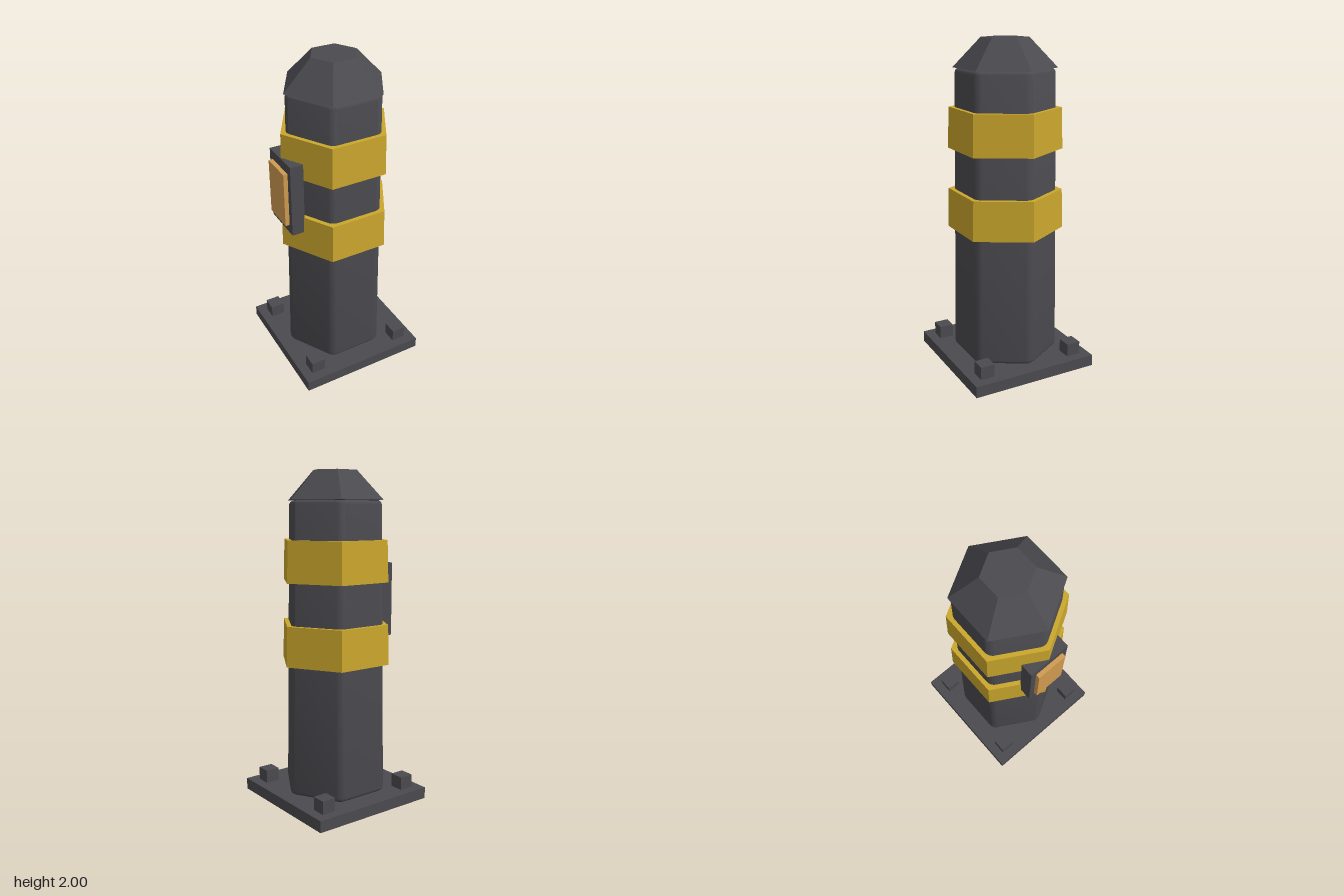
import * as THREE from 'three';
import { toCreasedNormals } from 'three/addons/utils/BufferGeometryUtils.js';

export function createModel() {
  const model = new THREE.Group();
  const paint = (name, color) => Object.assign(new THREE.MeshStandardMaterial({ color }), { name });
  const darkMetal = paint('dark metal', 0x4b4a4f);
  const yellow = paint('safety yellow', 0xcba72d);
  const orange = paint('orange panel', 0xd09b50);

  const add = (name, geometry, material, x, y, z) => {
    const mesh = new THREE.Mesh(geometry, material);
    mesh.name = name;
    mesh.position.set(x, y, z);
    model.add(mesh);
  };
  const box = (name, material, w, h, d, x, y, z) =>
    add(name, new THREE.BoxGeometry(w, h, d), material, x, y, z);
  // Sharp six-sided frustum with corners on the x axis
  const hex = (name, material, rTop, rBottom, y0, y1) =>
    add(name, toCreasedNormals(
      new THREE.CylinderGeometry(rTop, rBottom, y1 - y0, 6, 1, false, Math.PI / 6), 0.3),
    material, 0, (y0 + y1) / 2, 0);

  // Base plate with four square bolts
  box('basePlate', darkMetal, 0.805, 0.07, 0.805, 0, 0.035, 0);
  for (const x of [-0.299, 0.299])
    for (const z of [-0.299, 0.299])
      box('bolt', darkMetal, 0.088, 0.085, 0.088, x, 0.1075, z);

  // Column: hexagon with rounded corners, bevelled ends and a slight taper
  const R = 0.33, fillet = 0.06, bevel = 0.025, y0 = 0.07, y1 = 1.825;
  const outline = new THREE.Shape();
  for (let i = 0; i < 6; i++) {
    const a = i * Math.PI / 3, c = R - fillet / Math.cos(Math.PI / 6);
    outline.absarc(c * Math.cos(a), c * Math.sin(a), fillet, a - Math.PI / 6, a + Math.PI / 6, false);
  }
  outline.closePath();
  const column = new THREE.ExtrudeGeometry(outline, {
    depth: y1 - y0 - 2 * bevel, curveSegments: 6, bevelEnabled: true,
    bevelThickness: bevel, bevelSize: bevel, bevelOffset: -bevel, bevelSegments: 4,
  });
  column.rotateX(-Math.PI / 2).translate(0, y0 + bevel, 0);
  const p = column.attributes.position;
  for (let i = 0; i < p.count; i++) {
    const s = 1 - 0.09 * (p.getY(i) - y0) / (y1 - y0);
    p.setX(i, p.getX(i) * s);
    p.setZ(i, p.getZ(i) * s);
  }
  add('column', toCreasedNormals(column, 0.6), darkMetal, 0, 0, 0);

  // Warning bands and cap
  hex('lowerBand', yellow, 0.343, 0.35, 0.865, 1.105);
  hex('upperBand', yellow, 0.333, 0.341, 1.355, 1.6);
  hex('cap', darkMetal, 0.14, 0.306, 1.828, 2);

  // Control box on the right side with its cover panel
  box('controlBox', darkMetal, 0.08, 0.45, 0.262, -0.304, 1.23, 0);
  box('controlPanel', orange, 0.026, 0.34, 0.192, -0.357, 1.23, 0);
  return model;
}
